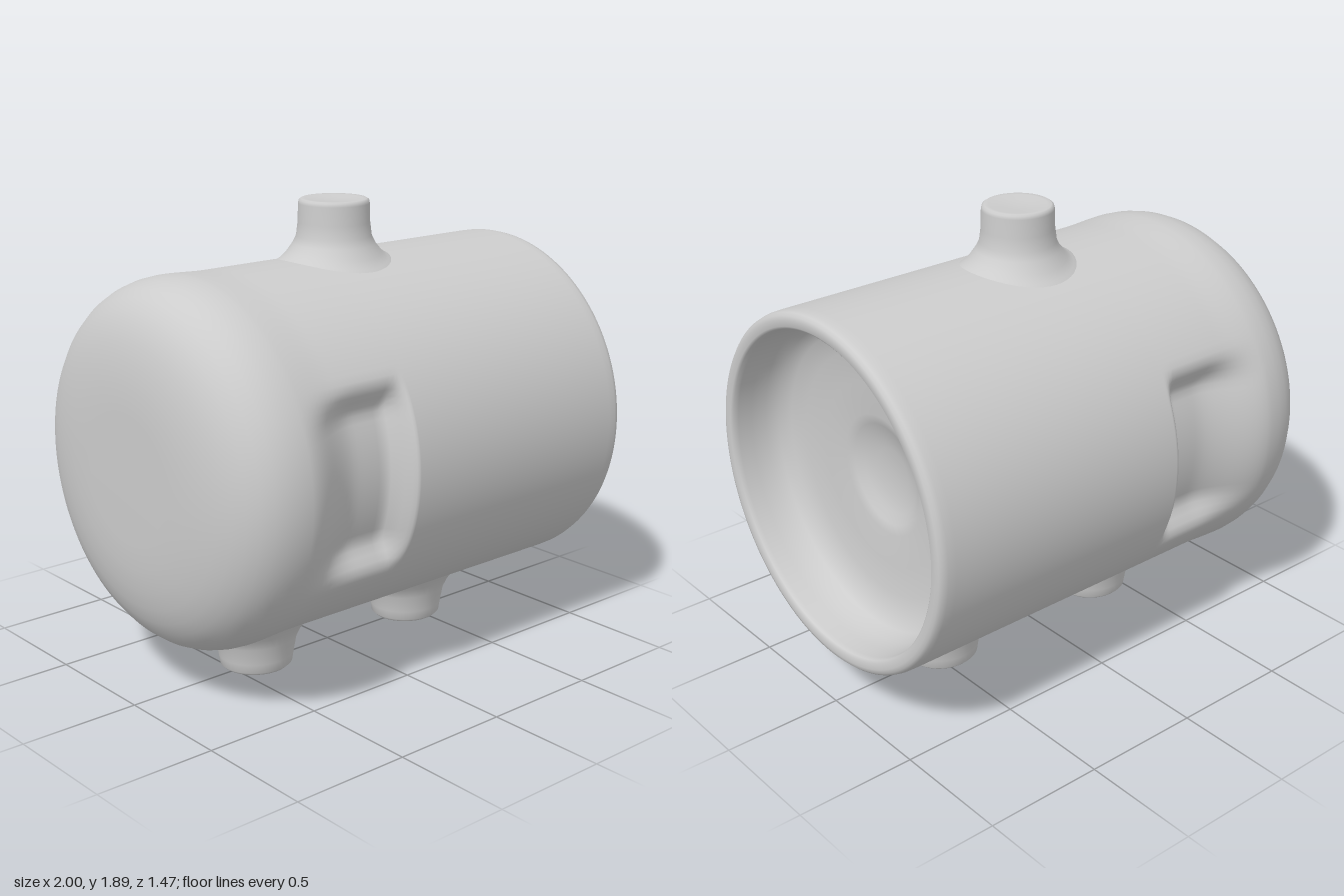
import * as THREE from 'three';
import { mergeVertices } from 'three/addons/utils/BufferGeometryUtils.js';

const AXIS_Y = 0.935;
const RADIUS = 0.728;
const smooth = THREE.MathUtils.smoothstep;

// Lathe from [radius, height] pairs, welded for seamless smooth normals
function turned(pairs, segments) {
  const points = pairs.map(([r, h]) => new THREE.Vector2(r, h));
  const lathe = new THREE.LatheGeometry(points, segments, Math.PI / 2);
  lathe.deleteAttribute('uv');
  lathe.deleteAttribute('normal');
  const geometry = mergeVertices(lathe, 1e-4);
  geometry.computeVertexNormals();
  return geometry;
}

// Bends the flared end of a stub around the barrel; side is 1 on top, -1 below
function saddle(geometry, side) {
  const position = geometry.attributes.position;
  for (let i = 0; i < position.count; i++) {
    const x = position.getX(i), z = position.getZ(i);
    const sag = RADIUS - Math.sqrt(RADIUS * RADIUS - z * z);
    const weight = smooth(Math.hypot(x, z), 0.15, 0.22);
    position.setY(i, position.getY(i) - side * sag * weight);
  }
  geometry.computeVertexNormals();
  return geometry;
}

// Hollow-ended barrel along x, with a hand recess pressed into front and back
function barrelGeometry() {
  const profile = [
    [0, -1], [0.25, -1], [0.36, -0.998], [0.45, -0.985], [0.52, -0.97],
    [0.58, -0.948], [0.63, -0.92], [0.67, -0.885], [0.7, -0.845],
    [0.72, -0.8], [0.732, -0.75], [0.736, -0.7],
  ];
  for (let x = -0.675; x < -0.19; x += 0.025) {
    profile.push([RADIUS + 0.008 * smooth(-x, 0.5, 0.7), x]);
  }
  for (const x of [-0.185, -0.175, -0.167, -0.16, -0.1, 0.1, 0.4, 0.7, 0.93]) {
    profile.push([RADIUS, x]);
  }
  // Rounded rim, short cavity wall and dished floor
  profile.push(
    [0.727, 0.965], [0.722, 0.985], [0.711, 0.996], [0.695, 1],
    [0.67, 0.998], [0.66, 0.99], [0.655, 0.97], [0.652, 0.91],
    [0.643, 0.85], [0.622, 0.8], [0.58, 0.765], [0.5, 0.742], [0.38, 0.73],
    [0.25, 0.722], [0.21, 0.71], [0.17, 0.69], [0.1, 0.675], [0, 0.67],
  );
  const geometry = turned(profile, 144);
  geometry.rotateZ(-Math.PI / 2);

  // Recess slopes in gently from the closed end and stops at a steep step
  const position = geometry.attributes.position;
  for (let i = 0; i < position.count; i++) {
    const x = position.getX(i), y = position.getY(i), z = position.getZ(i);
    const along = smooth(x, -0.7, -0.38) * (1 - smooth(x, -0.24, -0.165));
    const depth = 0.11 * along * (1 - smooth(Math.abs(y), 0.24, 0.39));
    position.setZ(i, z - Math.sign(z) * depth);
  }
  geometry.computeVertexNormals();
  return geometry;
}

export function createModel() {
  const group = new THREE.Group();
  const grey = new THREE.MeshStandardMaterial({ color: 0xcccccc });
  grey.name = 'plain grey';

  function add(name, geometry, x, y) {
    const mesh = new THREE.Mesh(geometry, grey);
    mesh.name = name;
    mesh.position.set(x, y, 0);
    group.add(mesh);
    return mesh;
  }

  add('barrel', barrelGeometry(), 0, AXIS_Y);

  // Bung spout flaring into the top of the barrel
  const spout = saddle(turned([
    [0.28, 1.63], [0.25, 1.655], [0.22, 1.668], [0.195, 1.685], [0.168, 1.715],
    [0.153, 1.745], [0.146, 1.8], [0.144, 1.875], [0.141, 1.888],
    [0.132, 1.894], [0.115, 1.893], [0.06, 1.888], [0, 1.885],
  ], 48), 1);
  add('spout', spout, 0.035, 0);

  // Two stubby feet flaring into the underside
  const foot = saddle(turned([
    [0, 0], [0.11, 0.001], [0.14, 0.006], [0.153, 0.018], [0.159, 0.055],
    [0.172, 0.125], [0.192, 0.16], [0.222, 0.19], [0.25, 0.212], [0.28, 0.24],
  ], 40), -1);
  for (const [name, x] of [['rightFoot', -0.39], ['leftFoot', 0.46]]) {
    add(name, foot, x, 0).scale.z = 0.95;
  }
  return group;
}
